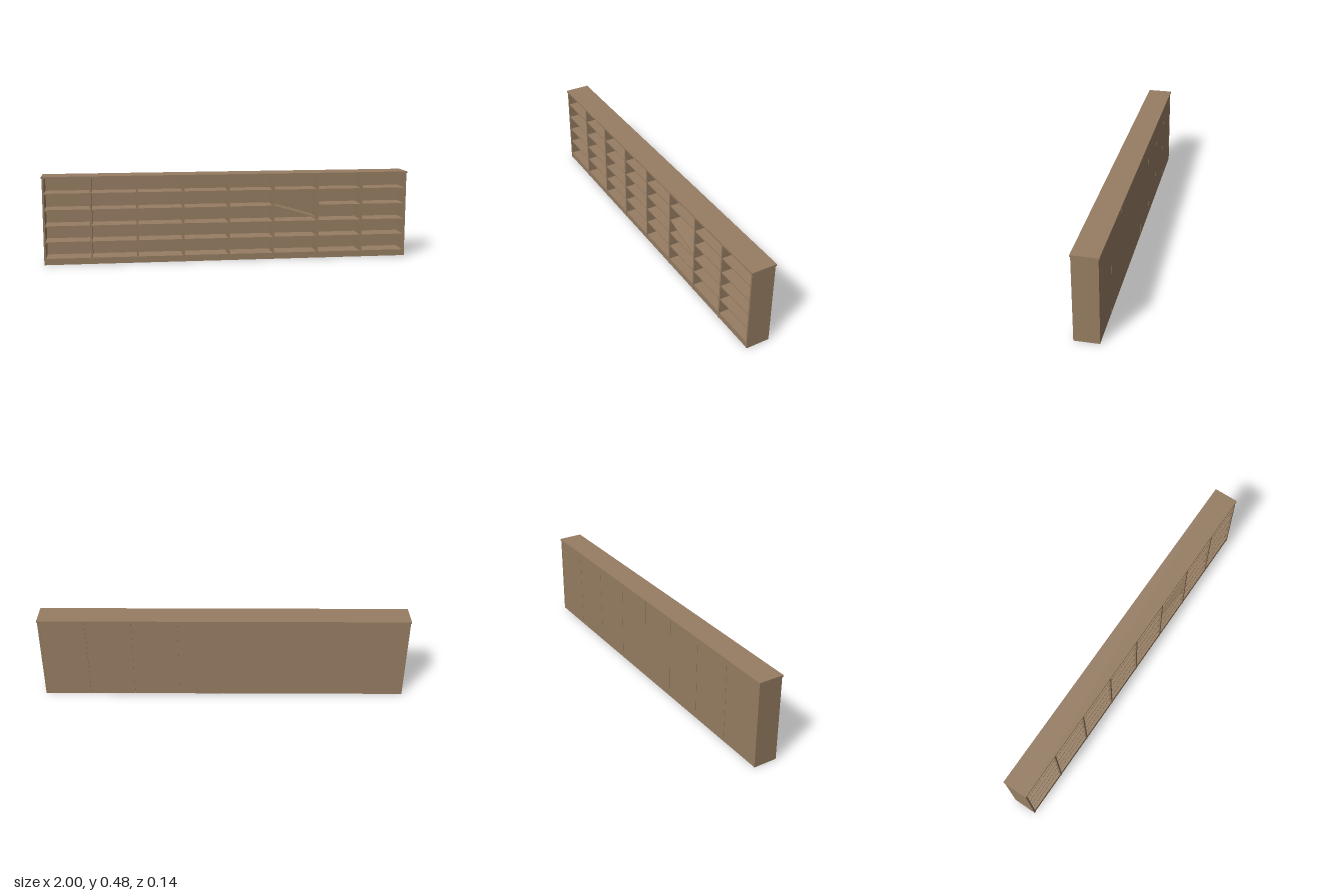
import * as THREE from 'three';

export function createModel() {
  const group = new THREE.Group();
  group.name = 'wideBookcase';
  const wood = new THREE.MeshStandardMaterial({ color: 0x967d62 });
  wood.name = 'brown wood';

  // Board given by its lower and upper limits on each axis
  function board(name, [x0, x1], [y0, y1], [z0, z1]) {
    const mesh = new THREE.Mesh(new THREE.BoxGeometry(x1 - x0, y1 - y0, z1 - z0), wood);
    mesh.position.set((x0 + x1) / 2, (y0 + y1) / 2, (z0 + z1) / 2);
    mesh.name = name;
    group.add(mesh);
    return mesh;
  }

  const bays = 8, half = 0.997, pitch = (2 * half - 0.01) / bays;
  const slabY = 0.466, baseY = 0.034, t = 0.01;
  const dividerX = (i) => -half + t / 2 + i * pitch;

  // Overhanging top
  board('topSlab', [-1, 1], [slabY, 0.476], [-0.069, 0.069]);

  // End panels and dividers between the bays
  for (let i = 0; i <= bays; i++) {
    const x = dividerX(i), end = i === 0 || i === bays;
    board(end ? 'endPanel' : 'divider', [x - t / 2, x + t / 2], [0, slabY], [end ? -0.065 : -0.06, 0.065]);
  }

  const shelfLevels = [0.121, 0.208, 0.295, 0.383];
  for (let i = 0; i < bays; i++) {
    const a = dividerX(i), b = dividerX(i + 1);
    const inner = [a + t / 2, b - t / 2];

    // Closed plinth and back panel, with a fine seam between neighbouring backs
    board('plinth', inner, [0, baseY], [-0.06, 0.063]);
    board('backPanel',
      [i === 0 ? inner[0] : a + 0.001, i === bays - 1 ? inner[1] : b - 0.001],
      [0, slabY], [-0.064, -0.058]);

    // Shelves, one of which has slipped down at its left end
    shelfLevels.forEach((y, level) => {
      const slipped = i === 5 && level === 2;
      const shelf = board(slipped ? 'slippedShelf' : 'shelf', inner, [y - 0.003, y + 0.003], [-0.058, 0.062]);
      if (slipped) {
        shelf.rotation.z = -0.285;
        shelf.position.x -= 0.002;
        shelf.position.y = 0.261;
      }
    });
  }
  return group;
}
